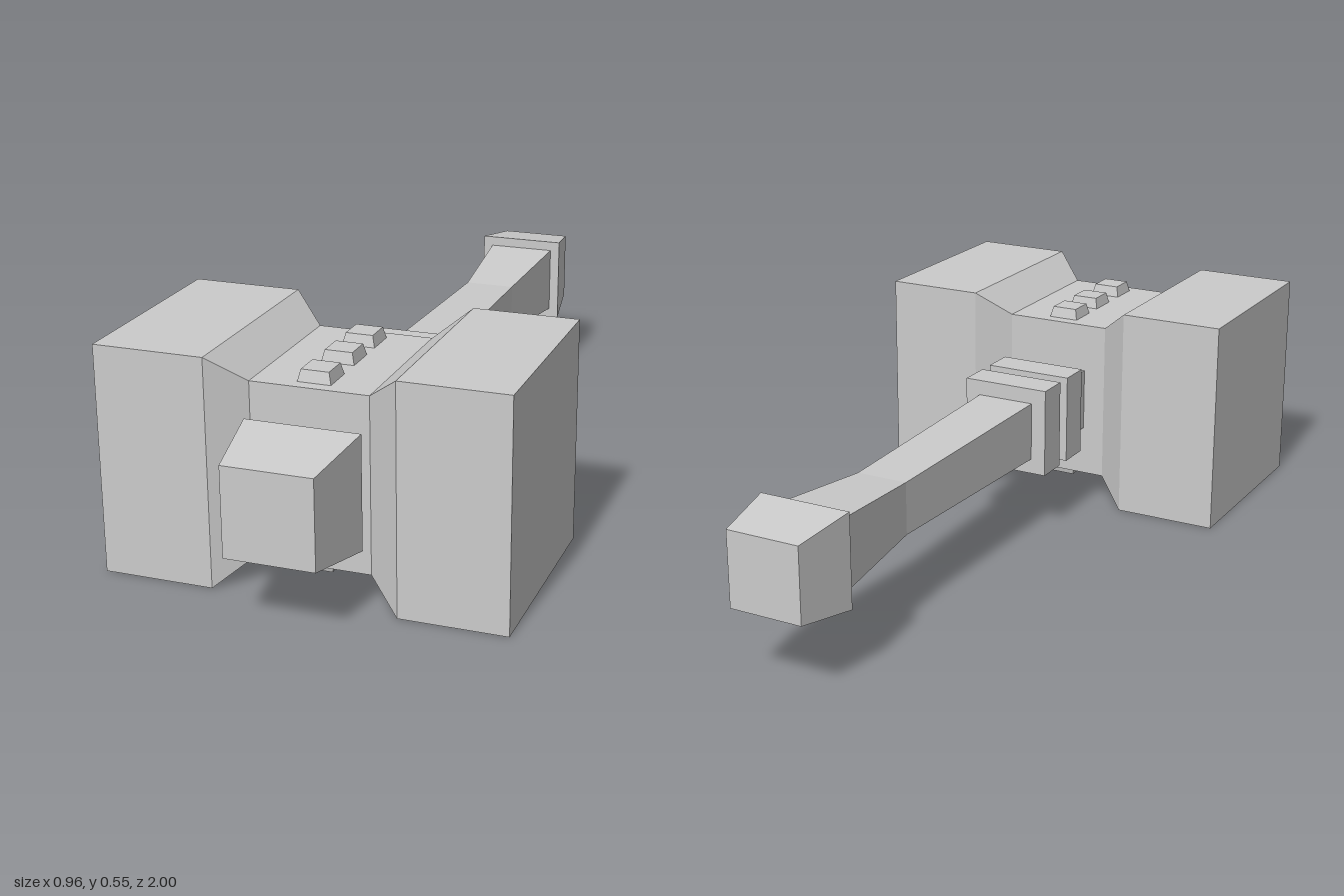
import * as THREE from 'three';

const material = new THREE.MeshStandardMaterial({ color: 0xcccccc, flatShading: true });
const CX = 0.005, CY = 0.275; // axis of the handle

// Closed solid through rectangular sections [z, halfWidth, halfHeight], ordered by rising z
function loft(name, sections) {
  const pos = [], index = [];
  for (const [z, w, h] of sections) pos.push(-w, -h, z, w, -h, z, w, h, z, -w, h, z);
  for (let s = 0; s < sections.length - 1; s++) {
    for (let i = 0; i < 4; i++) {
      const a = s * 4 + i, b = s * 4 + (i + 1) % 4;
      index.push(a, b, b + 4, a, b + 4, a + 4);
    }
  }
  const e = (sections.length - 1) * 4;
  index.push(0, 2, 1, 0, 3, 2, e, e + 1, e + 2, e, e + 2, e + 3);
  let geo = new THREE.BufferGeometry();
  geo.setAttribute('position', new THREE.Float32BufferAttribute(pos, 3));
  geo.setIndex(index);
  geo = geo.toNonIndexed();
  geo.computeVertexNormals();
  const mesh = new THREE.Mesh(geo, material);
  mesh.name = name;
  return mesh;
}

export function createModel() {
  const model = new THREE.Group();
  model.name = 'hammer';

  // Head: two square blocks joined by a narrower waist, lofted along x
  const head = loft('head', [
    [-0.48, 0.261, 0.2735], [-0.215, 0.261, 0.2735], [-0.135, 0.202, 0.21],
    [0.145, 0.202, 0.21], [0.226, 0.261, 0.2735], [0.48, 0.261, 0.2735],
  ]);
  head.rotation.y = Math.PI / 2;
  head.position.set(0, 0.2735, 0.568);
  model.add(head);

  // Parts along the handle axis
  const shaft = new THREE.Group();
  shaft.name = 'handle';
  shaft.position.set(CX, CY, 0);
  shaft.add(
    loft('pommel', [[-1, 0.092, 0.092], [-0.84, 0.115, 0.115]]),
    loft('grip', [[-0.85, 0.09, 0.09], [-0.53, 0.065, 0.065], [0.08, 0.076, 0.076]]),
    loft('neck', [[0.07, 0.077, 0.077], [0.38, 0.082, 0.082]]),
    loft('rearCollar', [[0.07, 0.115, 0.115], [0.155, 0.115, 0.115]]),
    loft('frontCollar', [[0.195, 0.115, 0.115], [0.28, 0.115, 0.115]]),
    loft('frontNeck', [[0.75, 0.09, 0.09], [0.82, 0.09, 0.09]]),
    loft('frontCap', [[0.81, 0.136, 0.136], [1, 0.106, 0.106]]),
  );
  model.add(shaft);

  // Tapered studs, three on the top of the waist and three below
  for (const side of [1, -1]) {
    for (const z of [0.438, 0.564, 0.7]) {
      const stud = loft(side > 0 ? 'topStud' : 'bottomStud', [[-0.01, 0.042, 0.042], [0.028, 0.033, 0.033]]);
      stud.rotation.x = -side * Math.PI / 2;
      stud.position.set(CX, side > 0 ? 0.483 : 0.064, z);
      model.add(stud);
    }
  }
  return model;
}
